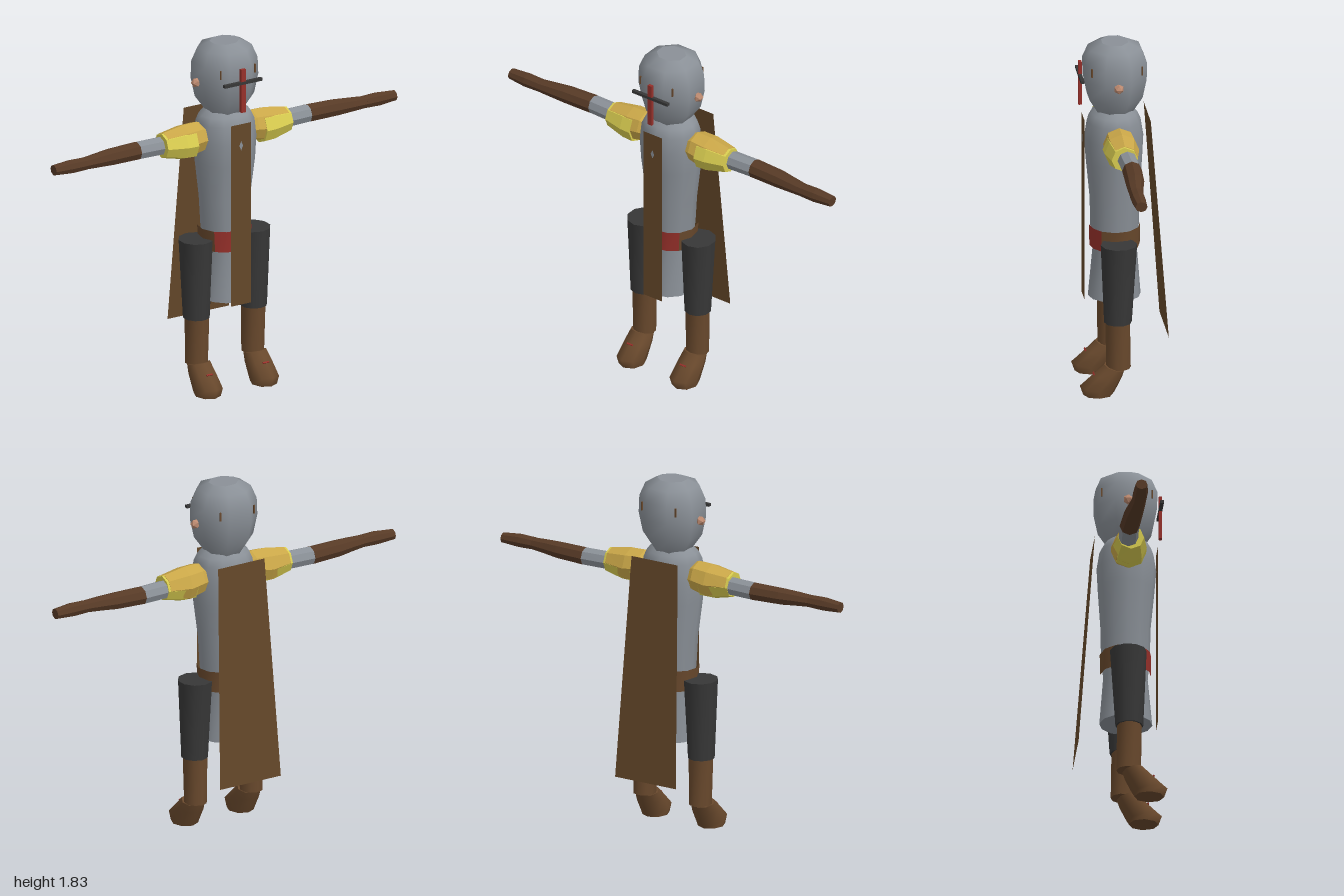
import * as THREE from 'three';
import { mergeVertices } from 'three/addons/utils/BufferGeometryUtils.js';

const paint = (name, color, side = THREE.FrontSide) => {
  const m = new THREE.MeshStandardMaterial({ color, side });
  m.name = name;
  return m;
};

const TAU = Math.PI * 2;

// Skin over elliptical rings { c: centre, u, v: half axes }, where u x v points along the path.
function loft(rings, { n = 8, start = 0, arc = TAU, flat = false, caps = true } = {}) {
  const pos = [], idx = [], cols = n + 1;
  const point = (r, i) => {
    const t = start + (arc * i) / n, c = Math.cos(t), s = Math.sin(t);
    return r.c.map((k, a) => k + r.u[a] * c + r.v[a] * s);
  };
  rings.forEach((r) => { for (let i = 0; i <= n; i++) pos.push(...point(r, i)); });
  for (let j = 0; j < rings.length - 1; j++) {
    for (let i = 0; i < n; i++) {
      const a = j * cols + i, b = a + cols;
      idx.push(a, a + 1, b + 1, a, b + 1, b);
    }
  }
  let g = new THREE.BufferGeometry();
  g.setAttribute('position', new THREE.Float32BufferAttribute(pos, 3));
  g.setIndex(idx);
  g = flat ? g.toNonIndexed() : mergeVertices(g, 1e-5);
  g.computeVertexNormals();
  g = g.index ? g.toNonIndexed() : g;
  if (!caps) return g;
  // Flat end caps with their own normals
  const P = [...g.attributes.position.array], N = [...g.attributes.normal.array];
  [[rings[0], -1], [rings[rings.length - 1], 1]].forEach(([r, dir]) => {
    const nrm = new THREE.Vector3(...r.u).cross(new THREE.Vector3(...r.v)).normalize().multiplyScalar(dir).toArray();
    for (let i = 0; i < n; i++) {
      P.push(...r.c, ...point(r, dir > 0 ? i : i + 1), ...point(r, dir > 0 ? i + 1 : i));
      N.push(...nrm, ...nrm, ...nrm);
    }
  });
  const out = new THREE.BufferGeometry();
  out.setAttribute('position', new THREE.Float32BufferAttribute(P, 3));
  out.setAttribute('normal', new THREE.Float32BufferAttribute(N, 3));
  return out;
}

// Upright ring, ring across an arm, and tilted ring between a front and a back point
const up = ([y, z, rx, rz]) => ({ c: [0, y, z], u: [0, 0, rz], v: [rx, 0, 0] });
const along = (s) => ([x, y, z, ry, rz]) => ({ c: [s * x, y, z], u: [0, ry, 0], v: [0, 0, s * rz] });
const tilted = ([fy, fz, by, bz, rx]) => ({
  c: [0, (fy + by) / 2, (fz + bz) / 2], u: [0, (fy - by) / 2, (fz - bz) / 2], v: [rx, 0, 0],
});

export function createModel() {
  const model = new THREE.Group();
  const steel = paint('steel', 0x8a9097);
  const leather = paint('leather', 0x68482c);
  const cloth = paint('brownCloth', 0x644729, THREE.DoubleSide);
  const glove = paint('gloveLeather', 0x573a26);
  const dark = paint('darkCloth', 0x373737);
  const gold = paint('gold', 0xcaa748);
  const yellow = paint('yellow', 0xd8cc50);
  const red = paint('red', 0x96302a);
  const skin = paint('skin', 0xbd8a70);

  const add = (name, geo, mat, parent = model) => {
    const m = new THREE.Mesh(geo, mat);
    m.name = name;
    parent.add(m);
    return m;
  };
  const box = (name, size, at, mat, parent) => {
    const m = add(name, new THREE.BoxGeometry(...size), mat, parent);
    m.position.set(...at);
    return m;
  };

  // Torso and skirt
  add('torso', loft([
    [0.47, 0.027, 0.125, 0.133], [0.72, 0.025, 0.106, 0.112], [0.85, 0.025, 0.12, 0.123],
    [1.0, 0.025, 0.13, 0.126], [1.2, 0.028, 0.155, 0.142], [1.32, 0.03, 0.16, 0.15],
    [1.41, 0.03, 0.152, 0.136], [1.45, 0.028, 0.135, 0.115], [1.475, 0.025, 0.1, 0.085],
  ].map(up), { n: 12 }), steel);

  // Belt with a red front
  const beltRings = [[0.74, 0.025, 0.132, 0.127], [0.85, 0.025, 0.14, 0.129]].map(up);
  add('belt', loft(beltRings, { n: 8, start: 0.9, arc: TAU - 1.8, caps: false }), leather);
  add('beltFront', loft(beltRings, { n: 4, start: -0.9, arc: 1.8, caps: false }), red);

  // Head
  add('head', loft([
    [1.46, 0.025, 0.095, 0.095], [1.54, 0.025, 0.152, 0.145], [1.64, 0.025, 0.173, 0.166],
    [1.73, 0.025, 0.168, 0.168], [1.8, 0.025, 0.138, 0.138], [1.83, 0.025, 0.078, 0.07],
  ].map(up), { n: 8, start: Math.PI / 8 }), steel);

  // Face guard
  box('faceGuardUpright', [0.026, 0.23, 0.016], [0, 1.615, 0.2], red);
  box('faceGuardBar', [0.22, 0.015, 0.018], [0, 1.657, 0.2], dark);

  // Hanging front panel and its clasp
  const panel = add('frontPanel', new THREE.PlaneGeometry(0.115, 0.965), cloth);
  panel.position.set(0, 0.947, 0.183);
  const clasp = add('clasp', new THREE.CircleGeometry(1, 4), steel);
  clasp.scale.set(0.011, 0.025, 1);
  clasp.position.set(0, 1.315, 0.185);

  // Cape flaring downwards and backwards
  const cape = new THREE.PlaneGeometry(1, 1);
  const p = cape.attributes.position;
  for (let i = 0; i < p.count; i++) {
    const top = p.getY(i) > 0, s = Math.sign(p.getX(i));
    p.setXYZ(i, s * (top ? 0.137 : 0.18), top ? 1.44 : 0.29, top ? -0.14 : -0.225);
  }
  cape.rotateY(Math.PI);
  for (let i = 0; i < p.count; i++) p.setZ(i, -p.getZ(i));
  cape.setIndex([0, 1, 2, 2, 1, 3]);
  cape.computeVertexNormals();
  add('cape', cape, cloth);

  for (const s of [1, -1]) {
    const side = s > 0 ? 'left' : 'right';

    // Ear and helmet slits
    const ear = add(side + 'Ear', new THREE.IcosahedronGeometry(0.026, 0), skin);
    ear.position.set(s * 0.167, 1.635, 0.025);
    for (const f of [1, -1]) {
      box(side + (f > 0 ? 'FrontSlit' : 'BackSlit'), [0.007, 0.045, 0.007], [s * 0.1, 1.7, 0.025 + f * 0.127], leather);
    }

    // Arm
    const arm = new THREE.Group();
    arm.name = side + 'Arm';
    model.add(arm);
    const limb = (name, rings, mat) => add(name, loft(rings.map(along(s)), { n: 8, flat: true }), mat, arm);
    limb('shoulderPad', [
      [0.13, 1.34, 0.025, 0.07, 0.07], [0.16, 1.343, 0.022, 0.08, 0.082],
      [0.24, 1.333, 0.02, 0.088, 0.088], [0.355, 1.337, 0.02, 0.064, 0.066],
    ], gold);
    limb('innerSleeve', [
      [0.2, 1.328, 0.026, 0.086, 0.086], [0.26, 1.329, 0.024, 0.085, 0.086], [0.367, 1.334, 0.022, 0.064, 0.066],
    ], yellow);
    limb('upperArm', [[0.34, 1.331, 0.01, 0.048, 0.05], [0.5, 1.33, 0.003, 0.047, 0.048]], steel);
    limb('forearm', [
      [0.5, 1.33, 0.003, 0.047, 0.05], [0.66, 1.331, 0.01, 0.044, 0.048],
      [0.74, 1.332, 0.018, 0.038, 0.042], [0.82, 1.332, 0.024, 0.032, 0.036],
    ], glove);
    limb('hand', [
      [0.82, 1.332, 0.024, 0.033, 0.036], [0.9, 1.332, 0.024, 0.036, 0.037], [1.0, 1.331, 0.021, 0.027, 0.03],
    ], glove);

    // Leg
    const leg = new THREE.Group();
    leg.name = side + 'Leg';
    leg.position.x = s * 0.165;
    model.add(leg);
    const thigh = add('thigh', loft([[0.385, 0.03, 0.069, 0.07], [0.8, 0.025, 0.088, 0.092]].map(up), { n: 10 }), dark, leg);
    thigh.position.x = s * 0.003;
    add('bootShaft', loft([[0.14, 0.027, 0.058, 0.062], [0.385, 0.031, 0.064, 0.062]].map(up), { n: 10 }), leather, leg);
    add('foot', loft([
      [0, 0.205, 0, 0.055, 0.066], [0.05, 0.222, 0.015, 0.045, 0.071],
      [0.11, 0.152, 0.085, 0.01, 0.07], [0.157, 0.1, 0.128, -0.005, 0.064],
    ].map(tilted), { n: 8 }), leather, leg);
    const strap = box('footStrap', [0.035, 0.006, 0.008], [0, 0.111, 0.152], red, leg);
    strap.rotation.x = 0.7;
  }
  return model;
}
